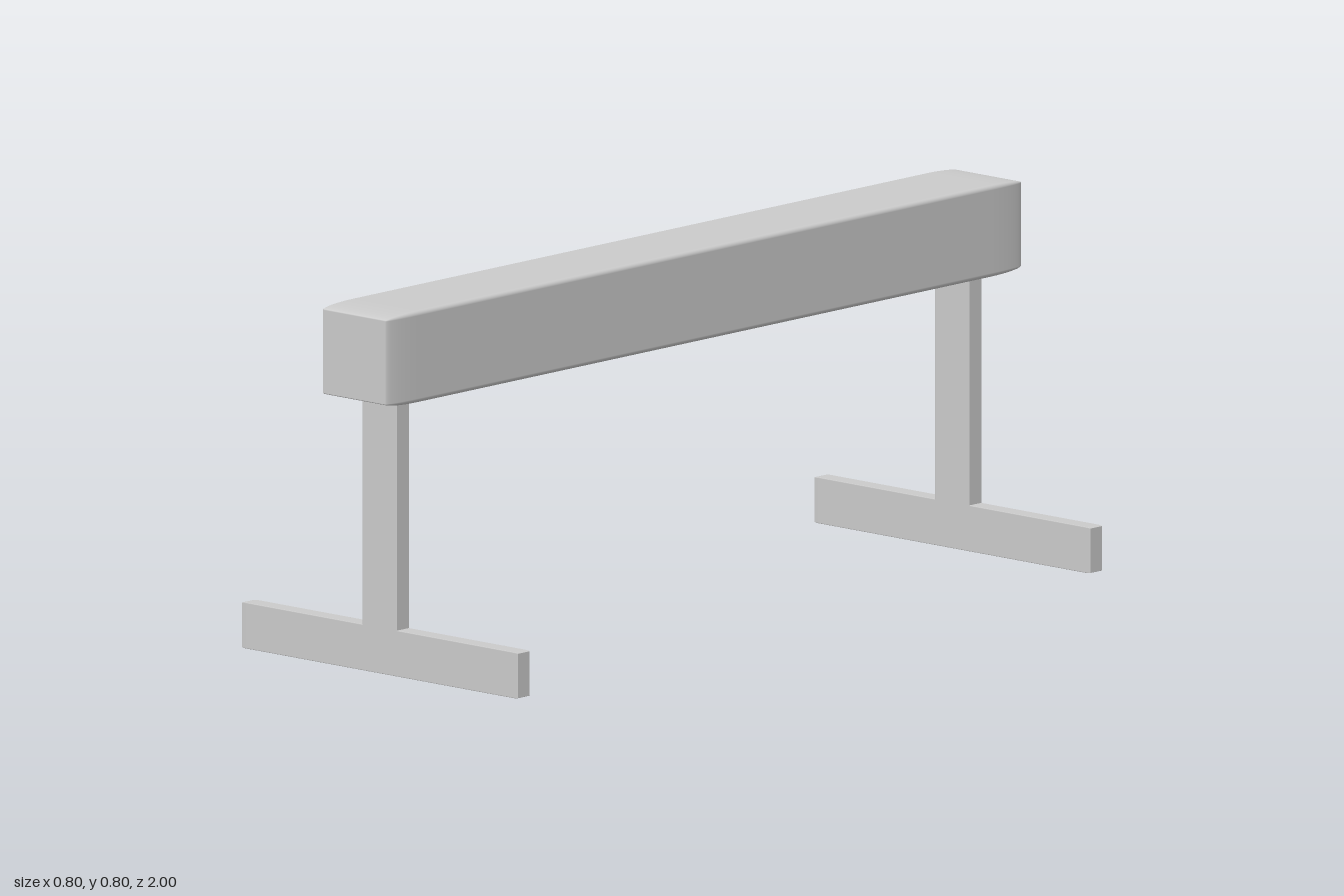
import * as THREE from 'three';
import { RoundedBoxGeometry } from 'three/addons/geometries/RoundedBoxGeometry.js';

const material = new THREE.MeshStandardMaterial({ color: 0xcccccc });

// A rounded unit cube stretched to size, so the rounding stretches with it
function roundedBar(name, size, position, rounding) {
  const geometry = new RoundedBoxGeometry(1, 1, 1, 5, rounding);
  geometry.scale(...size);
  const mesh = new THREE.Mesh(geometry, material);
  mesh.name = name;
  mesh.position.set(...position);
  return mesh;
}

export function createModel() {
  const model = new THREE.Group();
  model.name = 'balanceBeam';

  // Long padded beam with softly tapered ends
  model.add(roundedBar('beam', [0.2, 0.2, 2], [0, 0.7, 0], 0.05));

  // T-shaped stand near each end
  for (const [name, z] of [['frontStand', 0.9], ['backStand', -0.9]]) {
    const stand = new THREE.Group();
    stand.name = name;
    stand.position.z = z;
    stand.add(
      roundedBar('post', [0.1, 0.55, 0.038], [0, 0.325, 0], 0.02),
      roundedBar('foot', [0.8, 0.1, 0.038], [0, 0.05, 0], 0.02),
    );
    model.add(stand);
  }
  return model;
}
